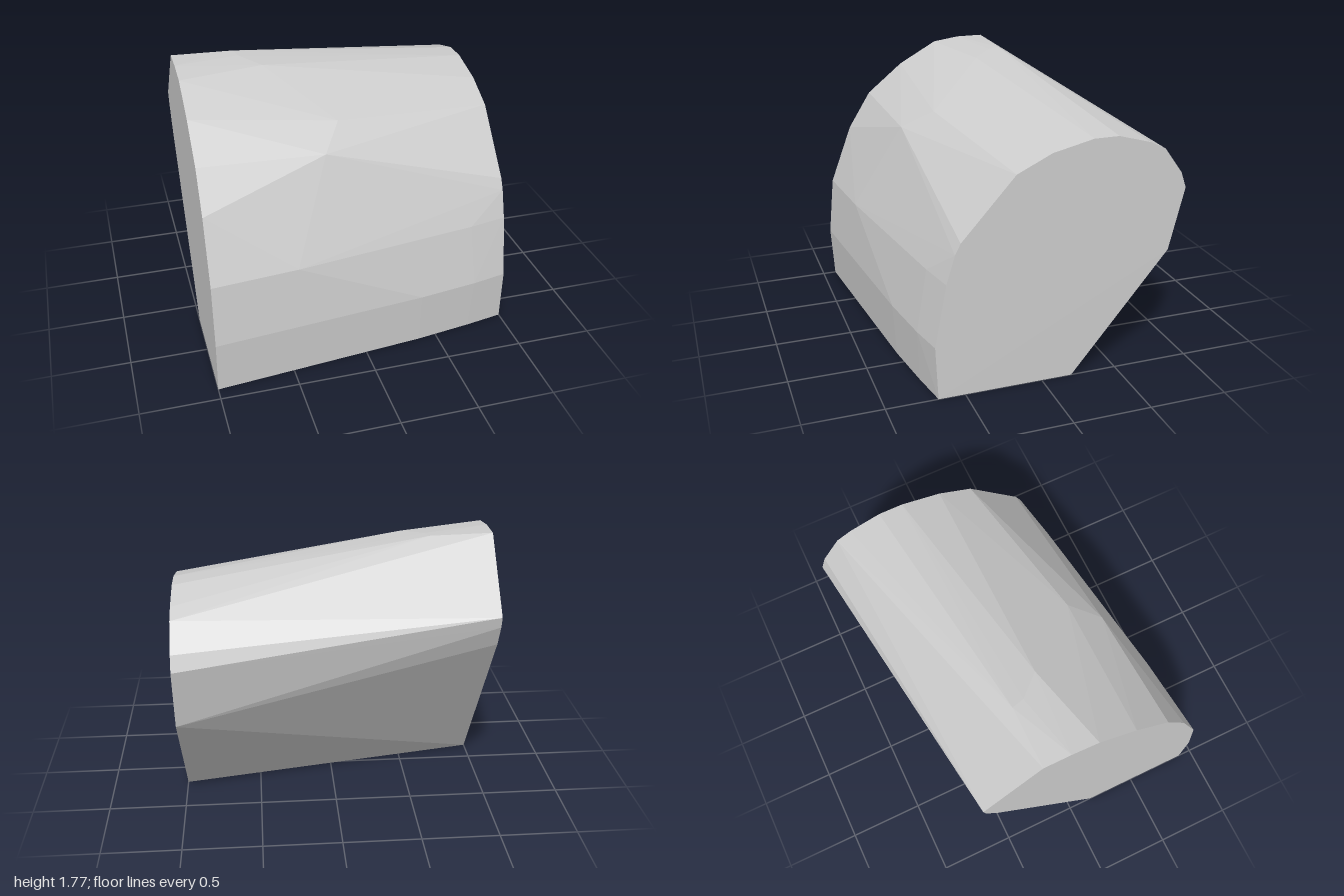
import * as THREE from 'three';
import { ConvexGeometry } from 'three/addons/geometries/ConvexGeometry.js';

// End outlines as [z, y] pairs, from the front foot over the top to the back foot
const LARGE_END = [
  [0.91, 0], [0.93, 0.35], [0.89, 0.75], [0.74, 1.15], [0.585, 1.4], [0.34, 1.6], [0.08, 1.745],
  [-0.1, 1.77], [-0.28, 1.77], [-0.665, 1.35], [-0.65, 1.28], [-0.586, 1.14], [0.165, 0],
];
const SMALL_END = [
  [0.67, 0], [0.685, 0.35], [0.61, 0.75], [0.555, 0.93], [0.52, 1.0], [0.18, 1.38], [-0.04, 1.485],
  [-0.3, 1.545], [-0.46, 1.545], [-0.67, 1.485], [-0.77, 1.435], [-0.89, 1.27], [-0.925, 1.17],
  [-0.83, 0.77], [-0.2, 0],
];
// Points [x, y, z] where the skin bulges slightly between the ends
const BULGES = [
  [-0.6, 1.76, -0.28], [-0.58, 1.755, -0.2], [-0.45, 1.73, -0.06], [-0.2, 1.36, 0.55],
  [-0.07, 1.485, 0.36], [0.35, 1.455, 0.26], [0.73, 1.395, 0.21], [0.73, 1.525, -0.06],
  [0.38, 0.35, 0.79], [0.77, 0.35, 0.733], [0.38, 0, 0.77], [0.75, 0, 0.715],
  [-0.45, 0.75, 0.835], [0.75, 0.75, 0.66],
];

const endPoints = (outline, x) => outline.map(([z, y]) => new THREE.Vector3(x, y, z));

export function createModel() {
  const group = new THREE.Group();
  group.name = 'taperedBlock';
  const grey = new THREE.MeshStandardMaterial({ color: 0xcccccc });
  grey.name = 'light grey';

  // Faceted convex body tapering from the large end to the small end
  const body = new THREE.Mesh(
    new ConvexGeometry([
      ...endPoints(LARGE_END, -1),
      ...endPoints(SMALL_END, 1),
      ...BULGES.map((p) => new THREE.Vector3(...p)),
    ]),
    grey,
  );
  body.name = 'body';
  group.add(body);
  return group;
}
